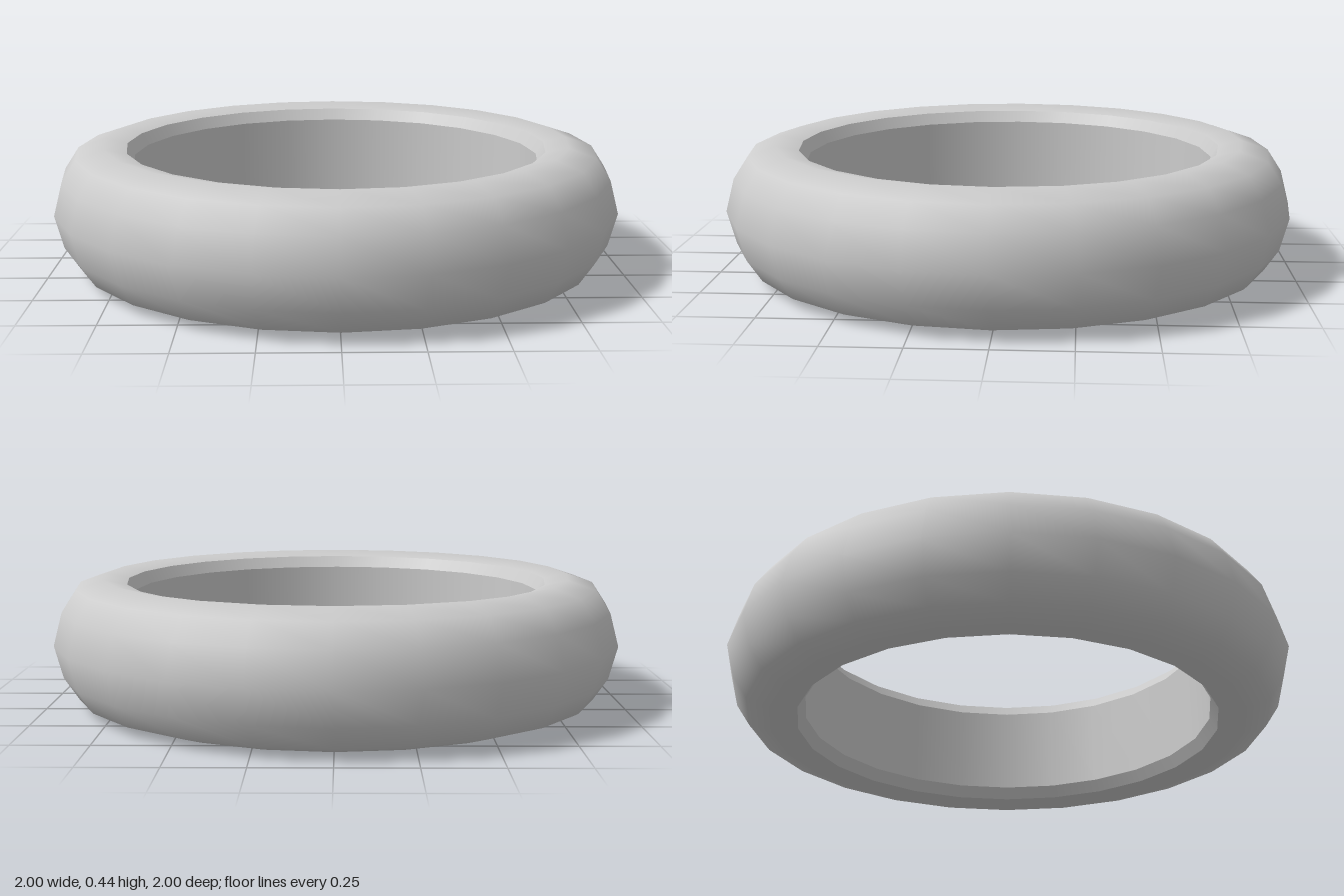
import * as THREE from 'three';

const SEGMENTS = 24;
const MID = 0.222; // half the ring's height

export function createModel() {
  const group = new THREE.Group();
  group.name = 'ring';
  const material = new THREE.MeshStandardMaterial({ color: 0xcccccc });

  // Revolves a profile of [radius, height from the middle] pairs
  const addBand = (name, profile) => {
    const points = profile.map(([r, h]) => new THREE.Vector2(r, MID + h));
    const mesh = new THREE.Mesh(new THREE.LatheGeometry(points, SEGMENTS), material);
    mesh.name = name;
    group.add(mesh);
  };

  // Rounded outer body, running from the bottom lip round to the top lip
  const upper = [[0.97, 0.114], [0.92, 0.19], [0.825, MID], [0.745, 0.204]];
  const lower = upper.map(([r, h]) => [r, -h]).reverse();
  addBand('outerBody', [...lower, [1, 0], ...upper]);

  // Narrow bevels and the straight bore, kept separate for crisp edges
  addBand('topBevel', [[0.745, 0.204], [0.72, 0.162]]);
  addBand('innerWall', [[0.72, 0.162], [0.72, -0.162]]);
  addBand('bottomBevel', [[0.72, -0.162], [0.745, -0.204]]);

  return group;
}
